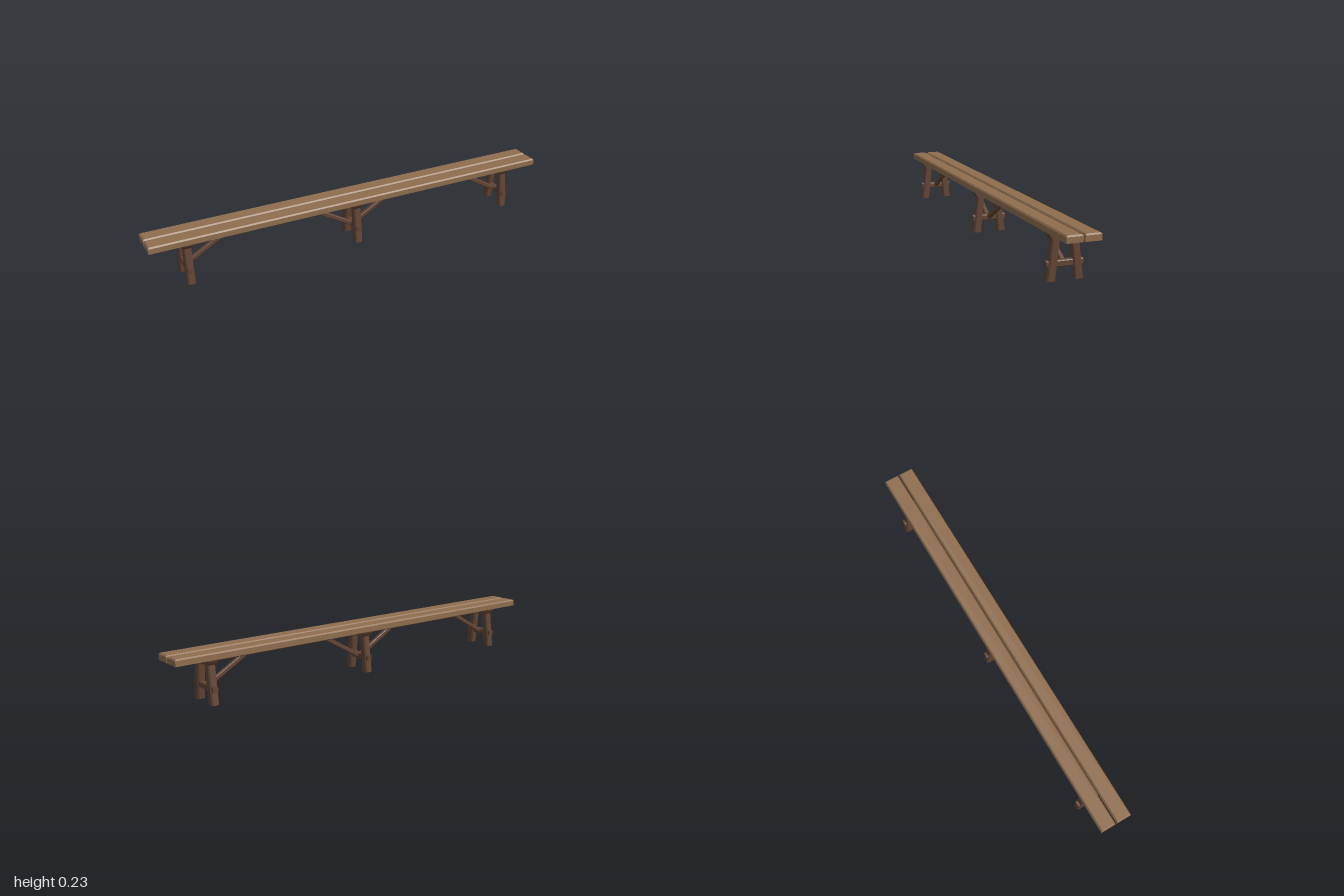
import * as THREE from 'three';

const plankWood = new THREE.MeshStandardMaterial({ color: 0x8f6d4e });
plankWood.name = 'light plank wood';
const frameWood = new THREE.MeshStandardMaterial({ color: 0x624434 });
frameWood.name = 'dark frame wood';

function addMesh(parent, name, geometry, material) {
  const flat = geometry.index ? geometry.toNonIndexed() : geometry;
  flat.computeVertexNormals();
  const mesh = new THREE.Mesh(flat, material);
  mesh.name = name;
  parent.add(mesh);
  return mesh;
}

// Bar along z, centred, with its four long edges chamfered
function chamferedBar(w, h, length, c) {
  const a = w / 2, b = h / 2;
  const shape = new THREE.Shape([
    [a - c, -b], [a, -b + c], [a, b - c], [a - c, b],
    [-a + c, b], [-a, b - c], [-a, -b + c], [-a + c, -b],
  ].map(([x, y]) => new THREE.Vector2(x, y)));
  return new THREE.ExtrudeGeometry(shape, { depth: length, bevelEnabled: false }).translate(0, 0, -length / 2);
}

// Seat plank whose top face is inset by a chamfer on all sides
function plankGeometry() {
  const c = 0.006, h = 0.031;
  const g = new THREE.BoxGeometry(2, h, 0.071, 1, 2, 1);
  const p = g.attributes.position;
  for (let i = 0; i < p.count; i++) {
    const y = p.getY(i);
    if (Math.abs(y) < 1e-4) p.setY(i, h / 2 - c);
    else if (y > 0) {
      p.setX(i, p.getX(i) - Math.sign(p.getX(i)) * c);
      p.setZ(i, p.getZ(i) - Math.sign(p.getZ(i)) * c);
    }
  }
  return g;
}

// Upright leg that leans inward, with level cuts at both ends
function legGeometry(side) {
  const h = 0.172;
  const g = chamferedBar(0.036, 0.037, h, 0.006).rotateX(-Math.PI / 2).translate(0, h / 2, 0);
  const p = g.attributes.position;
  for (let i = 0; i < p.count; i++) {
    const t = p.getY(i) / h;
    p.setZ(i, p.getZ(i) * (1.04 - 0.1 * t) + side * (0.061 - 0.02 * t));
  }
  return g;
}

// Cross cleat under the planks, narrower at the bottom
function cleatGeometry() {
  const shape = new THREE.Shape([
    [-0.058, 0.17], [0.058, 0.17], [0.07, 0.187], [0.073, 0.195], [-0.073, 0.195], [-0.07, 0.187],
  ].map(([x, y]) => new THREE.Vector2(x, y)));
  return new THREE.ExtrudeGeometry(shape, { depth: 0.046, bevelEnabled: false })
    .translate(0, 0, -0.023).rotateY(Math.PI / 2);
}

// Diagonal brace rising from a stretcher to the long rail
function addBrace(parent, dir) {
  const from = new THREE.Vector2(0, 0.066), to = new THREE.Vector2(0.19, 0.175);
  const d = to.clone().sub(from);
  const g = chamferedBar(0.02, 0.02, d.length(), 0.003).rotateY(Math.PI / 2);
  const brace = addMesh(parent, 'brace', g, frameWood);
  brace.position.set(dir * (from.x + to.x) / 2, (from.y + to.y) / 2, 0);
  brace.rotation.z = dir * d.angle();
}

export function createModel() {
  const bench = new THREE.Group();
  bench.name = 'bench';

  // Two seat planks with a narrow gap
  for (const s of [-1, 1]) {
    const plank = addMesh(bench, 'seatPlank', plankGeometry(), plankWood);
    plank.position.set(0, 0.2105, s * 0.0395);
  }

  // Long rail under the gap
  const rail = addMesh(bench, 'longRail', chamferedBar(0.024, 0.024, 1.7, 0.003).rotateY(Math.PI / 2), frameWood);
  rail.position.y = 0.183;

  // Three trestles, braced towards the middle and both ways at the centre
  for (const [x, braces] of [[-0.826, [1]], [0, [-1, 1]], [0.826, [-1]]]) {
    const trestle = new THREE.Group();
    trestle.name = 'trestle';
    trestle.position.x = x;
    bench.add(trestle);
    for (const s of [-1, 1]) addMesh(trestle, 'leg', legGeometry(s), frameWood);
    addMesh(trestle, 'cleat', cleatGeometry(), frameWood);
    const stretcher = addMesh(trestle, 'stretcher', chamferedBar(0.026, 0.028, 0.161, 0.004), frameWood);
    stretcher.position.y = 0.069;
    for (const dir of braces) addBrace(trestle, dir);
  }
  return bench;
}
